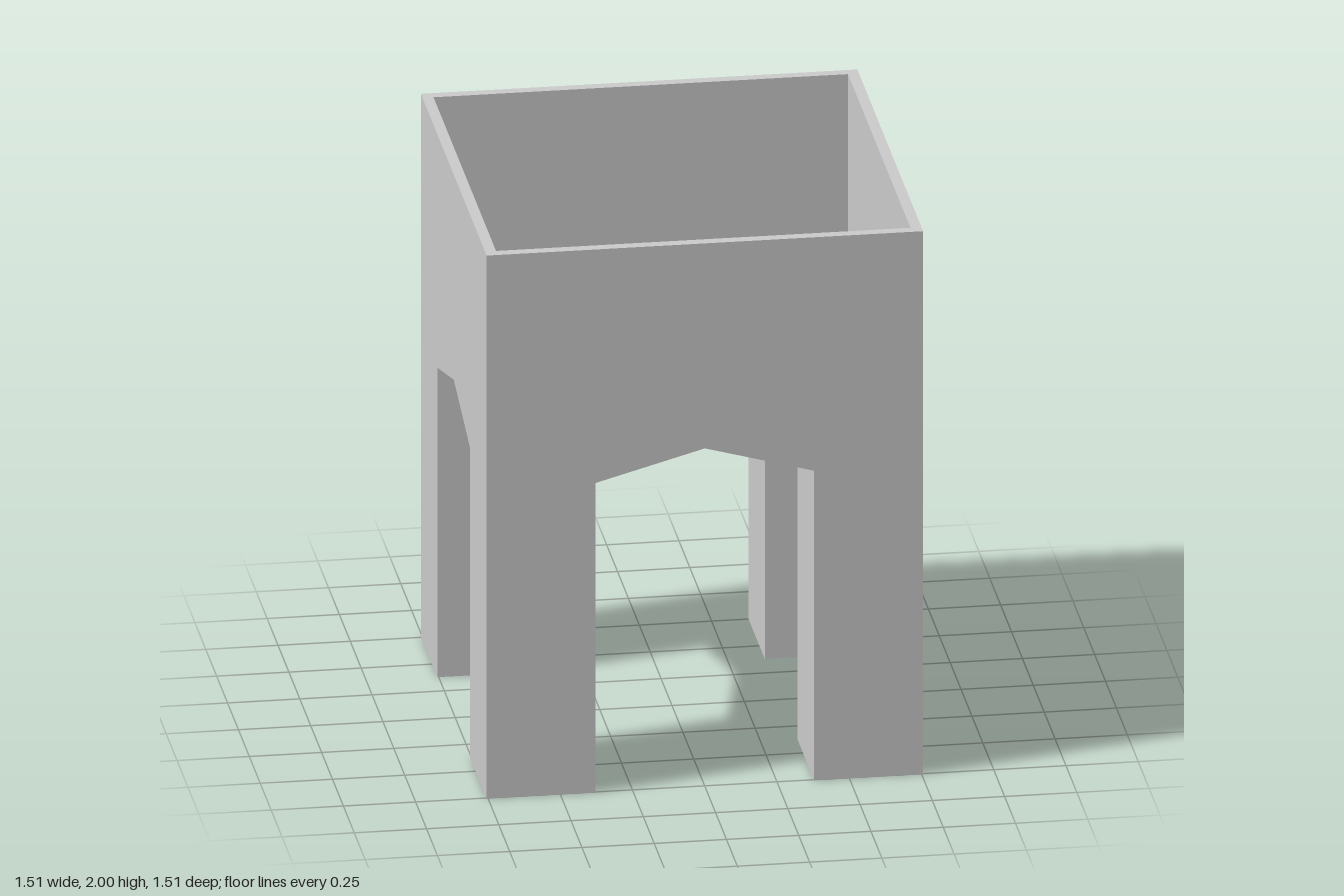
import * as THREE from 'three';

const W = 0.755;     // outer half width
const INNER = 0.717; // half width inside the basin
const LEG = 0.378;   // half width of the arch openings
const SPRING = 1.14; // where the arches start
const APEX = 1.245;  // arch peak and basin floor
const TOP = 2;

// One side of the vault: pointed band on the outside and two sloping soffits that meet the
// neighbouring sides along the diagonal creases.
function vaultSide() {
  const pos = [];
  const quad = (a, b, c, d) => pos.push(...a, ...b, ...c, ...a, ...c, ...d);
  for (const s of [1, -1]) {
    const peak = [0, APEX, W], spring = [s * LEG, SPRING, W];
    const band = [peak, spring, [s * W, SPRING, W], [s * W, APEX, W]];
    const soffit = [peak, [0, APEX, 0], [s * LEG, SPRING, LEG], spring];
    for (const q of [band, soffit]) quad(...(s > 0 ? q : q.reverse()));
  }
  const g = new THREE.BufferGeometry();
  g.setAttribute('position', new THREE.Float32BufferAttribute(pos, 3));
  g.computeVertexNormals();
  return g;
}

function square(Type, h) {
  return new Type([[-h, -h], [h, -h], [h, h], [-h, h]].map(([x, y]) => new THREE.Vector2(x, y)));
}

export function createModel() {
  const group = new THREE.Group();
  const mat = new THREE.MeshStandardMaterial({ color: 0xcccccc, flatShading: true });
  const add = (name, geometry) => {
    const mesh = new THREE.Mesh(geometry, mat);
    mesh.name = name;
    group.add(mesh);
    return mesh;
  };

  // Four square legs
  const legSize = W - LEG, legPos = (W + LEG) / 2;
  const legGeo = new THREE.BoxGeometry(legSize, SPRING, legSize);
  for (const x of [-1, 1]) for (const z of [-1, 1]) {
    add('leg', legGeo).position.set(x * legPos, SPRING / 2, z * legPos);
  }

  // Crossed vault, the same on all four sides
  const sideGeo = vaultSide();
  for (let i = 0; i < 4; i++) add('vaultSide', sideGeo).rotation.y = i * Math.PI / 2;

  // Open basin walls
  const outline = square(THREE.Shape, W);
  outline.holes.push(square(THREE.Path, INNER));
  const walls = new THREE.ExtrudeGeometry(outline, { depth: TOP - APEX, bevelEnabled: false });
  add('basinWalls', walls.rotateX(-Math.PI / 2)).position.y = APEX;

  // Basin floor
  const floor = new THREE.PlaneGeometry(2 * INNER, 2 * INNER).rotateX(-Math.PI / 2);
  add('basinFloor', floor).position.y = APEX;

  return group;
}
